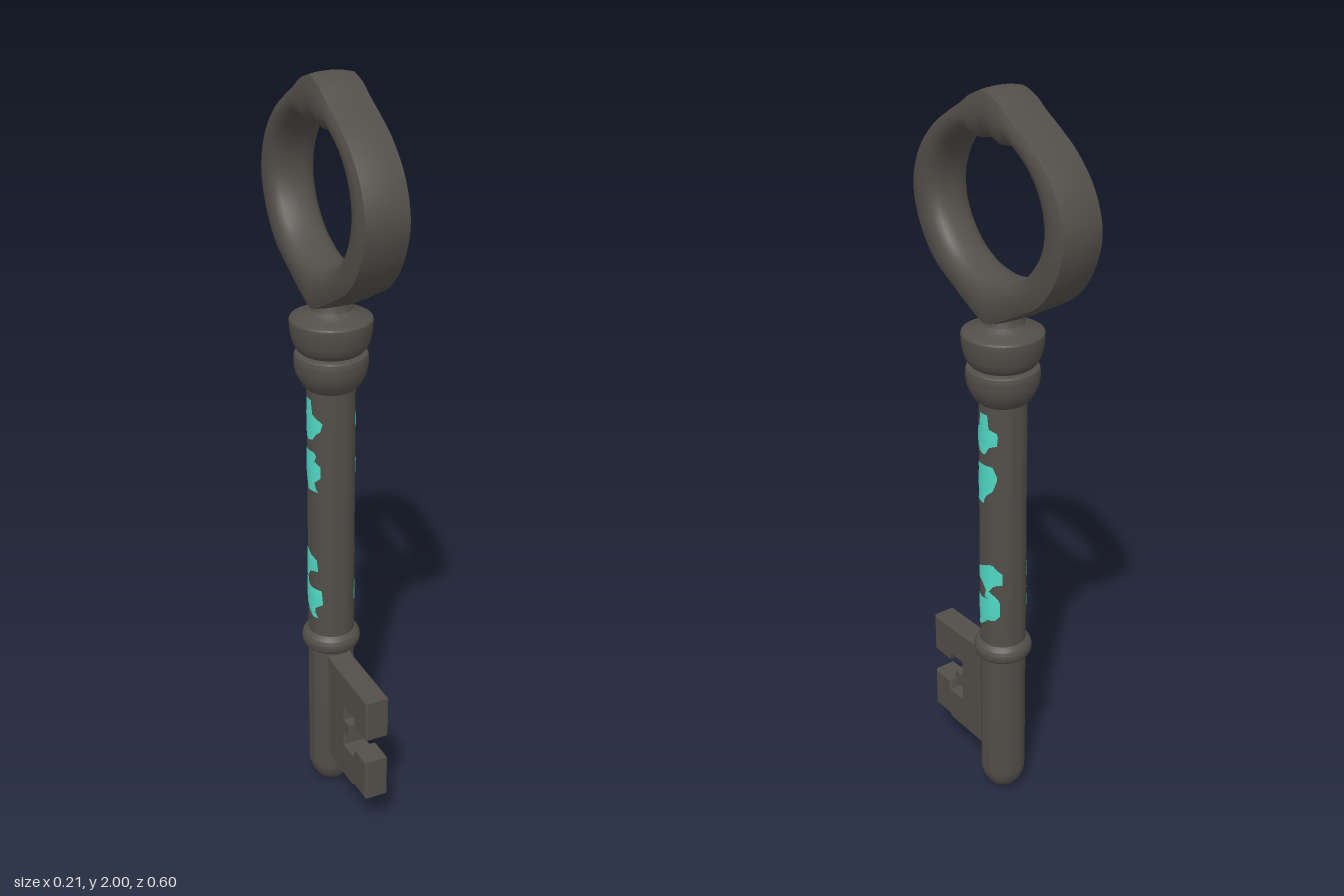
import * as THREE from 'three';
import { toCreasedNormals } from 'three/addons/utils/BufferGeometryUtils.js';

const iron = new THREE.MeshStandardMaterial({ color: 0x524e49 });
iron.name = 'dark iron';
const teal = new THREE.MeshStandardMaterial({ color: 0x50d8c4 });
teal.name = 'teal patina';

const SHAFT = 0.062;

function add(group, name, geometry, material = iron) {
  const mesh = new THREE.Mesh(geometry, material);
  mesh.name = name;
  group.add(mesh);
}

// Turned part from a smooth profile of [radius, y]
function turned(points, smooth = true) {
  let p = points.map(([r, y]) => new THREE.Vector2(r, y));
  if (smooth) p = new THREE.SplineCurve(p).getPoints(points.length * 4);
  p.forEach((v) => { v.x = Math.max(v.x, 0); });
  return toCreasedNormals(new THREE.LatheGeometry(p, 40), 0.7);
}

// Closed symmetric curve from half an outline of [z, y]
function loopCurve(half) {
  const other = half.slice(1, -1).reverse().map(([z, y]) => [-z, y]);
  return new THREE.CatmullRomCurve3([...half, ...other].map(([z, y]) => new THREE.Vector3(0, y, z)), true);
}

// Ring handle: a section stretched between an outer and an inner outline
function bowGeometry() {
  const outer = loopCurve([[0, 2.0], [0.05, 1.985], [0.09, 1.957], [0.14, 1.927], [0.205, 1.883], [0.27, 1.81],
    [0.3, 1.72], [0.28, 1.63], [0.22, 1.545], [0.13, 1.49], [0.065, 1.455], [0, 1.43]]);
  const inner = loopCurve([[0, 1.885], [0.05, 1.873], [0.085, 1.884], [0.12, 1.87], [0.165, 1.835], [0.198, 1.78],
    [0.208, 1.72], [0.19, 1.655], [0.14, 1.595], [0.085, 1.563], [0.04, 1.553], [0, 1.55]]);
  const side = [[0.985, 0.03], [0.94, 0.056], [0.75, 0.062], [0.5, 0.064], [0.25, 0.059], [0.08, 0.044], [0.015, 0.022]];
  const section = [[1, 0], ...side, [0, 0], ...side.slice().reverse().map(([t, x]) => [t, -x])];
  const rings = 132, m = section.length;
  const pos = [], index = [];
  for (let i = 0; i < rings; i++) {
    const a = inner.getPoint(i / rings), b = outer.getPoint(i / rings);
    for (const [t, x] of section) {
      const p = a.clone().lerp(b, t);
      pos.push(x, p.y, p.z);
    }
  }
  for (let i = 0; i < rings; i++) {
    const n = (i + 1) % rings;
    for (let j = 0; j < m; j++) {
      const k = (j + 1) % m;
      index.push(i * m + j, n * m + j, i * m + k, n * m + j, n * m + k, i * m + k);
    }
  }
  const g = new THREE.BufferGeometry();
  g.setAttribute('position', new THREE.Float32BufferAttribute(pos, 3));
  g.setIndex(index);
  return toCreasedNormals(g, 0.7);
}

// Toothed blade, drawn in (z, y) and extruded across x
function bitGeometry() {
  const outline = [[0.02, 0.125], [0.2, 0.125], [0.215, 0.133], [0.28, 0.136], [0.28, 0.245], [0.218, 0.245],
    [0.212, 0.217], [0.148, 0.217], [0.148, 0.265], [0.18, 0.265], [0.18, 0.3], [0.148, 0.3], [0.148, 0.35],
    [0.212, 0.35], [0.218, 0.328], [0.28, 0.328], [0.28, 0.435], [0.08, 0.44], [0.02, 0.455]];
  const shape = new THREE.Shape(outline.map(([z, y]) => new THREE.Vector2(z, y)));
  const g = new THREE.ExtrudeGeometry(shape, {
    depth: 0.054, bevelEnabled: true, bevelThickness: 0.006, bevelSize: 0.005, bevelSegments: 2,
  });
  g.translate(0, 0, -0.027);
  g.rotateY(-Math.PI / 2);
  return g;
}

// Patina patch hugging the shaft; rows of [y, z one edge, z other edge], top down
function patchGeometry(rows, s) {
  const cols = 8, r = SHAFT + 0.0015, pos = [], index = [];
  rows.forEach(([y, z0, z1], i) => {
    for (let j = 0; j <= cols; j++) {
      const z = z0 + (z1 - z0) * j / cols;
      pos.push(s * Math.sqrt(r * r - z * z), y, z);
      if (i && j) {
        const d = i * (cols + 1) + j, c = d - 1, b = d - cols - 1, a = b - 1;
        if (s > 0) index.push(a, c, b, c, d, b);
        else index.push(a, b, c, c, b, d);
      }
    }
  });
  const g = new THREE.BufferGeometry();
  g.setAttribute('position', new THREE.Float32BufferAttribute(pos, 3));
  g.setIndex(index);
  g.computeVertexNormals();
  return g;
}

export function createModel() {
  const key = new THREE.Group();
  key.name = 'key';

  // Shaft with rounded tip
  add(key, 'shaft', turned([[0, 0], [0.02, 0.004], [0.04, 0.02], [0.054, 0.042], [0.061, 0.065],
    [SHAFT, 0.08], [SHAFT, 1.24]], false));

  // Collars and neck
  add(key, 'lowerRing', turned([[0.06, 0.455], [0.074, 0.465], [0.079, 0.483], [0.074, 0.5], [0.06, 0.512]]));
  add(key, 'lowerCollar', turned([[0.05, 1.215], [0.066, 1.222], [0.084, 1.248], [0.093, 1.275], [0.094, 1.305],
    [0.086, 1.315], [0.05, 1.318]]));
  add(key, 'upperCollar', turned([[0.05, 1.31], [0.077, 1.317], [0.093, 1.335], [0.102, 1.365], [0.105, 1.4],
    [0.098, 1.408], [0.074, 1.418], [0.054, 1.432]]));
  add(key, 'neck', turned([[0.062, 1.415], [0.054, 1.435], [0.05, 1.46], [0.045, 1.5], [0, 1.52]], false));

  add(key, 'bow', bowGeometry());
  add(key, 'bit', bitGeometry());

  // Patina patches on both broad sides
  const patches = [
    [[1.198, 0.012, -0.016], [1.16, 0.018, -0.02], [1.152, 0.03, -0.04], [1.14, 0.045, -0.042],
      [1.117, 0.04, -0.04], [1.108, 0.03, -0.02], [1.09, 0.018, -0.01], [1.086, 0.005, -0.006]],
    [[1.056, 0.022, -0.03], [1.046, 0.03, -0.034], [1.03, 0.024, -0.04], [1.018, 0.04, -0.04],
      [0.986, 0.04, -0.03], [0.97, 0.024, -0.012], [0.955, 0.028, -0.004], [0.944, 0.034, -0.002]],
    [[0.765, -0.02, -0.03], [0.752, 0.01, -0.04], [0.742, 0.03, -0.05], [0.708, 0.034, -0.05],
      [0.7, 0.005, -0.03], [0.682, -0.008, -0.018], [0.662, -0.002, -0.042], [0.65, 0.042, -0.046],
      [0.61, 0.045, -0.046], [0.594, 0.026, -0.034], [0.58, 0.024, -0.002], [0.564, 0.034, 0.016]],
  ];
  for (const s of [1, -1]) {
    patches.forEach((rows, i) => add(key, `${s > 0 ? 'left' : 'right'}Patina${i + 1}`, patchGeometry(rows, s), teal));
  }
  return key;
}
